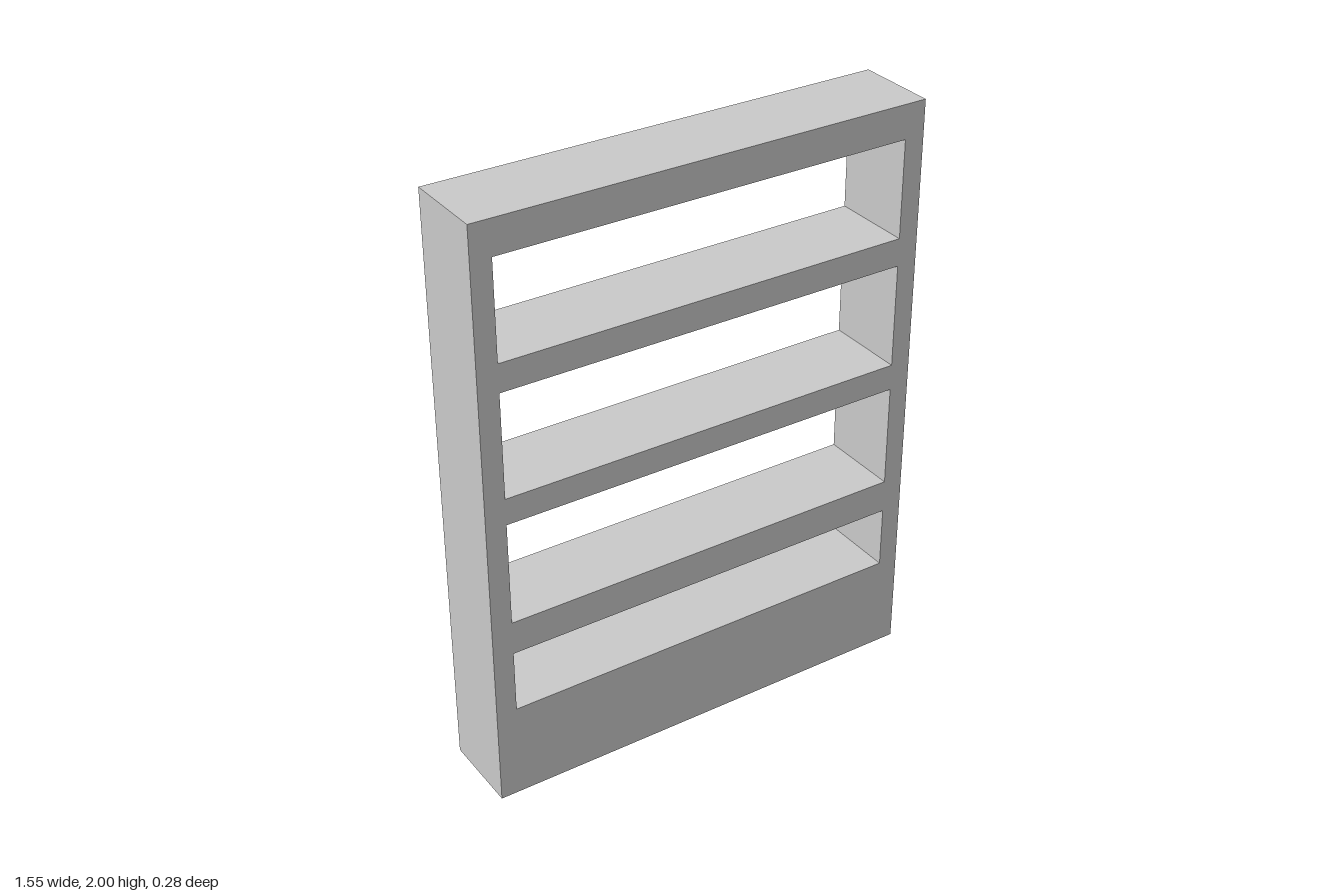
import * as THREE from 'three';

const HALF_WIDTH = 0.775, HEIGHT = 2, DEPTH = 0.28, HALF_OPENING = 0.706;
// bottom and top height of each opening between the shelves
const OPENINGS = [[0.33, 0.545], [0.66, 1.105], [1.015, 1.46], [1.555, 1.885]];
OPENINGS[1] = [0.66, 1.015];
OPENINGS[2] = [1.105, 1.46];

function rectangle(path, halfWidth, y0, y1) {
  path.moveTo(-halfWidth, y0);
  path.lineTo(halfWidth, y0);
  path.lineTo(halfWidth, y1);
  path.lineTo(-halfWidth, y1);
  path.closePath();
  return path;
}

export function createModel() {
  const group = new THREE.Group();
  group.name = 'openShelf';

  // one solid frame, pierced right through by the openings
  const outline = rectangle(new THREE.Shape(), HALF_WIDTH, 0, HEIGHT);
  for (const [y0, y1] of OPENINGS) {
    outline.holes.push(rectangle(new THREE.Path(), HALF_OPENING, y0, y1));
  }
  const geometry = new THREE.ExtrudeGeometry(outline, { depth: DEPTH, bevelEnabled: false });
  geometry.translate(0, 0, -DEPTH / 2);

  const frame = new THREE.Mesh(geometry, new THREE.MeshStandardMaterial({ color: 0xcccccc }));
  frame.name = 'shelfFrame';
  group.add(frame);
  return group;
}
